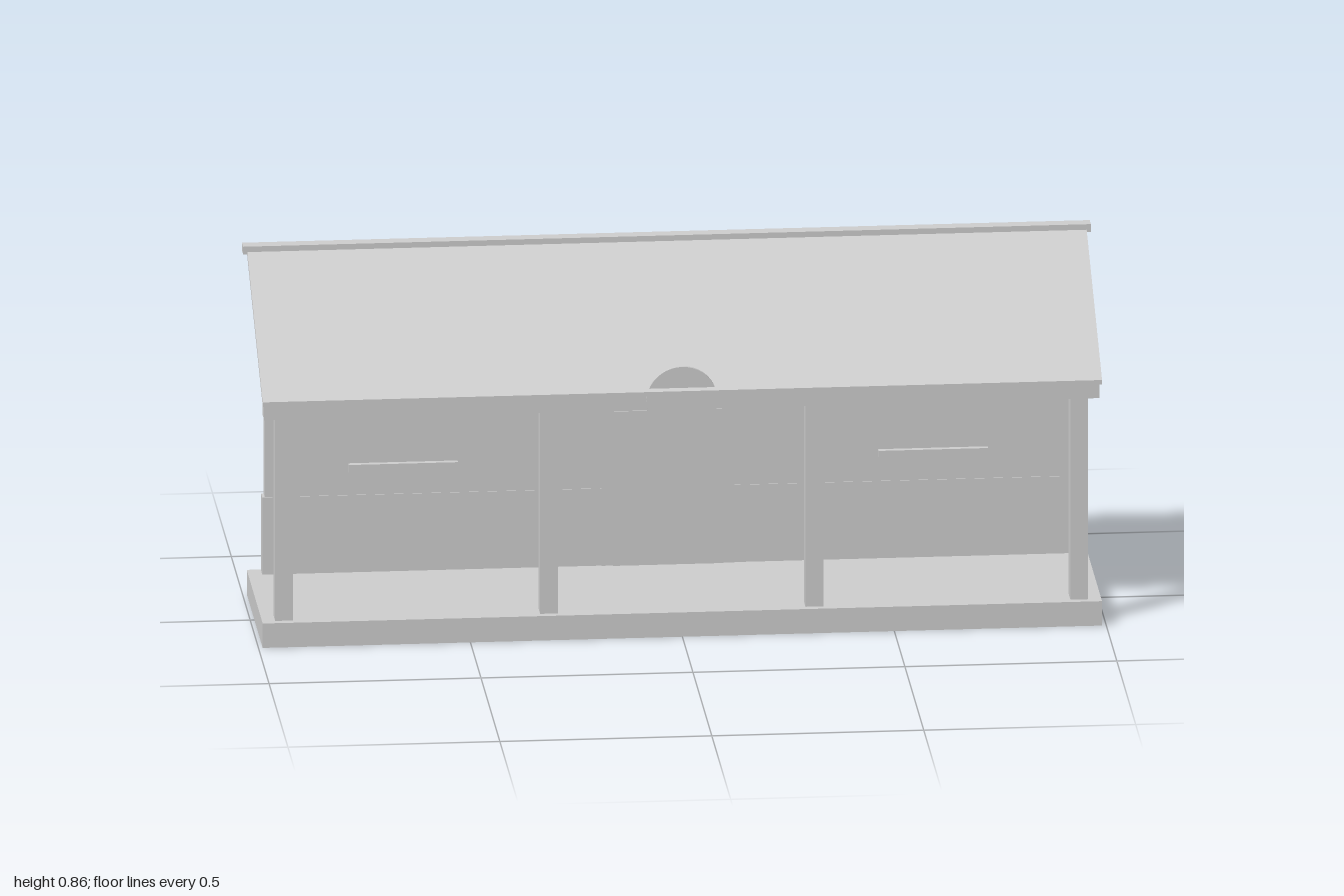
import * as THREE from 'three';

export function createModel() {
  const group = new THREE.Group();
  group.name = 'openShelter';
  const grey = new THREE.MeshStandardMaterial({ color: 0xcccccc });
  grey.name = 'plain grey';

  function add(name, geometry) {
    const mesh = new THREE.Mesh(geometry, grey);
    mesh.name = name;
    group.add(mesh);
    return mesh;
  }

  // Box given by its lower and upper limits on each axis
  function box(name, x0, x1, y0, y1, z0, z1) {
    const mesh = add(name, new THREE.BoxGeometry(x1 - x0, y1 - y0, z1 - z0));
    mesh.position.set((x0 + x1) / 2, (y0 + y1) / 2, (z0 + z1) / 2);
    return mesh;
  }

  // Floor slab
  box('floor', -0.99, 0.99, 0, 0.06, -0.203, 0.22);

  // Four front posts carrying a long beam
  for (const x of [-0.938, -0.313, 0.313, 0.938]) {
    box('frontPost', x - 0.021, x + 0.021, 0.06, 0.556, 0.157, 0.202);
  }
  box('frontBeam', -0.985, 0.985, 0.555, 0.599, 0.155, 0.203);

  // Back wall with a slightly thicker lower band
  box('backWall', -0.951, 0.951, 0.06, 0.695, -0.191, -0.164);
  box('wallBand', -0.957, 0.957, 0.06, 0.25, -0.194, -0.162);

  // Door and its surround in the middle of the wall
  box('doorSurround', -0.157, 0.157, 0.06, 0.495, -0.165, -0.16);
  box('door', -0.13, 0.13, 0.06, 0.44, -0.165, -0.157);

  // Narrow ledges on the wall, one each side
  for (const side of [-1, 1]) {
    const x = side * 0.625;
    box('wallLedge', x - 0.129, x + 0.129, 0.309, 0.328, -0.165, -0.15);
  }

  // Sloping roof sheet, extruded along x from its side profile (z, y)
  const profile = new THREE.Shape([
    [0.221, 0.594], [0.221, 0.605], [-0.203, 0.857], [-0.203, 0.844],
  ].map(([z, y]) => new THREE.Vector2(-z, y)));
  const roof = new THREE.ExtrudeGeometry(profile, { depth: 1.98, bevelEnabled: false });
  roof.translate(0, 0, -0.99);
  roof.rotateY(Math.PI / 2);
  add('roof', roof);
  box('ridgeCap', -1, 1, 0.842, 0.861, -0.219, -0.187);

  // Round sign on the beam, reaching through the roof edge
  const sign = add('roundSign', new THREE.CylinderGeometry(0.084, 0.084, 0.008, 40));
  sign.rotation.x = Math.PI / 2;
  sign.position.set(0, 0.578, 0.208);

  return group;
}
